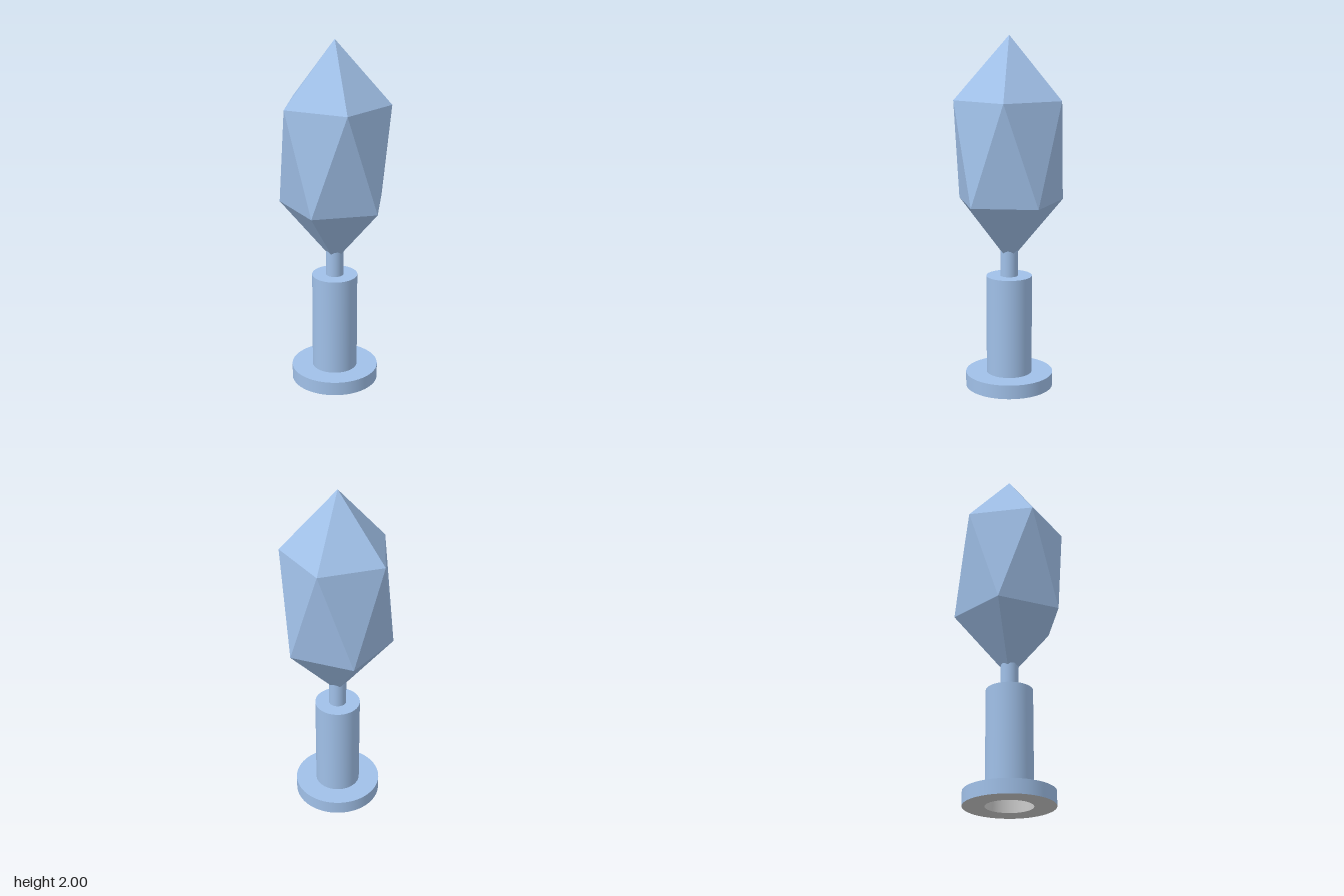
import * as THREE from 'three';
import { mergeGeometries } from 'three/addons/utils/BufferGeometryUtils.js';
import { ConvexGeometry } from 'three/addons/geometries/ConvexGeometry.js';

const blue = new THREE.MeshStandardMaterial({ color: 0xa0c0e8, side: THREE.DoubleSide });
const blueFlat = new THREE.MeshStandardMaterial({ color: 0xa0c0e8, flatShading: true });
const grey = new THREE.MeshStandardMaterial({ color: 0xcccccc, side: THREE.DoubleSide });

// Turned surface with sharp edges: one lathe band per profile segment
function turned(name, material, profile) {
  const bands = [];
  for (let i = 0; i < profile.length - 1; i++) {
    const pts = [profile[i], profile[i + 1]].map(([r, y]) => new THREE.Vector2(r, y));
    bands.push(new THREE.LatheGeometry(pts, 64));
  }
  const mesh = new THREE.Mesh(mergeGeometries(bands), material);
  mesh.name = name;
  return mesh;
}

// Stretched twenty-sided gem: two poles and two staggered rings of five
function gemGeometry() {
  const radius = 0.312;
  const points = [new THREE.Vector3(0, 2, 0), new THREE.Vector3(0, 0.73, 0)];
  for (let i = 0; i < 5; i++) {
    const a = (i / 5) * Math.PI * 2;
    const x = radius * Math.sin(a), z = radius * Math.cos(a);
    points.push(new THREE.Vector3(x, 1.08, z), new THREE.Vector3(-x, 1.65, -z));
  }
  return new ConvexGeometry(points);
}

export function createModel() {
  const model = new THREE.Group();
  model.name = 'gemOnStand';

  // Stand: flange, handle and thin neck, each a hollow step
  model.add(turned('flange', blue, [[0.25, 0], [0.25, 0.08], [0.13, 0.08]]));
  model.add(turned('handle', blue, [[0.13, 0.08], [0.13, 0.65], [0.05, 0.65]]));
  model.add(turned('neck', blue, [[0.05, 0.65], [0.05, 0.8]]));

  // Stepped recess and bore seen from below
  model.add(turned('undersideAndBore', grey,
    [[0.05, 0.65], [0.05, 0.08], [0.13, 0.08], [0.13, 0], [0.25, 0]]));

  const gem = new THREE.Mesh(gemGeometry(), blueFlat);
  gem.name = 'gem';
  model.add(gem);
  return model;
}
